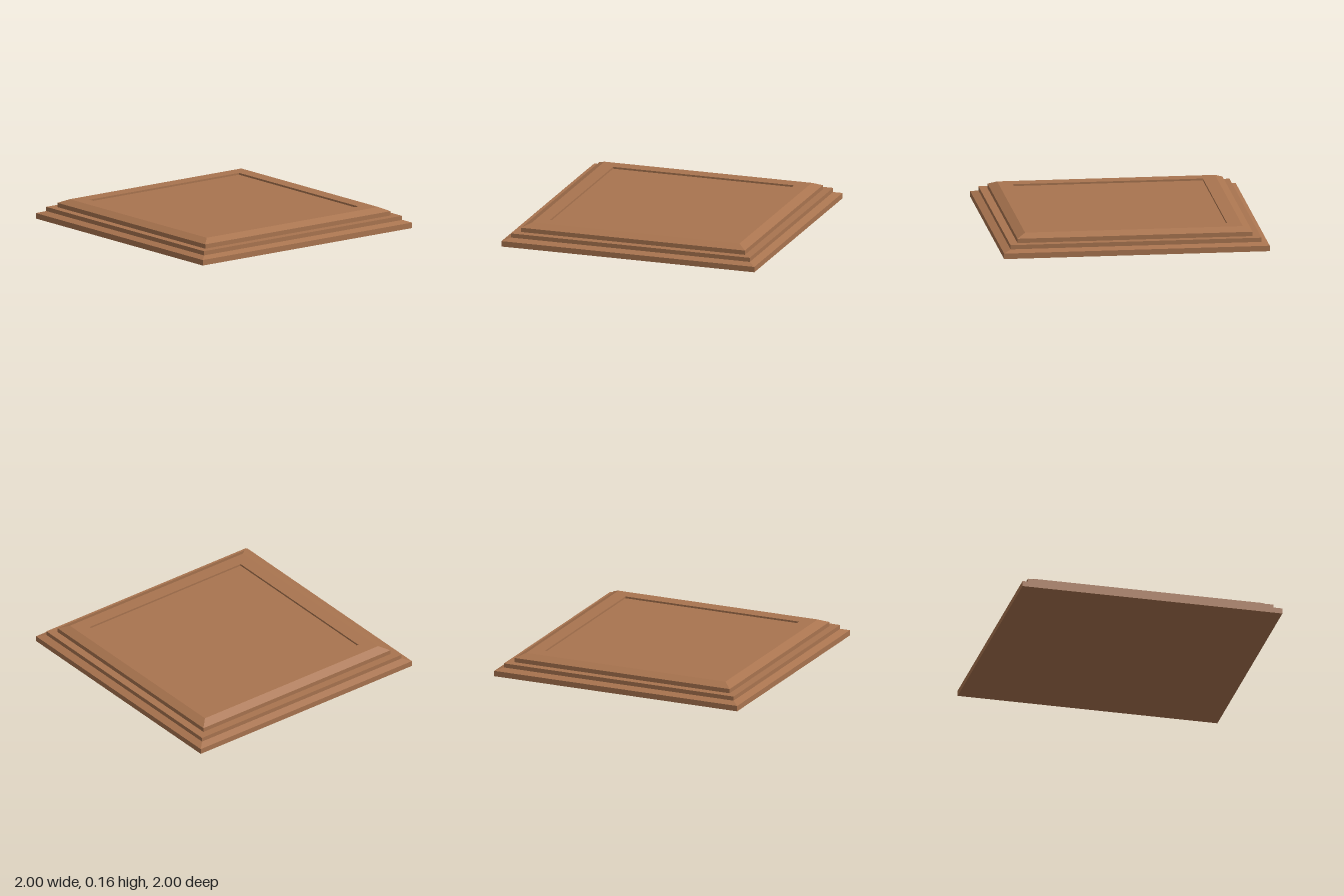
import * as THREE from 'three';

// Square moulding: a [half width, height] profile swept round four sides
function squareMoulding(name, profile, material) {
  const points = profile.map(([half, y]) => new THREE.Vector2(half * Math.SQRT2, y));
  const geometry = new THREE.LatheGeometry(points, 4, Math.PI / 4).toNonIndexed();
  geometry.computeVertexNormals(); // flat facets with crisp mitred corners
  const mesh = new THREE.Mesh(geometry, material);
  mesh.name = name;
  return mesh;
}

export function createModel() {
  const group = new THREE.Group();
  group.name = 'steppedPlinth';

  const wood = new THREE.MeshStandardMaterial({ color: 0xa9744f });
  wood.name = 'warm brown wood';

  // Foot with closed underside and a shallow sloping top
  group.add(squareMoulding('foot', [[0, 0], [1, 0], [1, 0.042], [0.945, 0.06]], wood));

  // Middle step with a flat ledge
  group.add(squareMoulding('middleStep', [[0.945, 0.06], [0.945, 0.092], [0.885, 0.092]], wood));

  // Upper step, bevelled up to a flat border around the recess
  group.add(squareMoulding('bevelledBorder',
    [[0.885, 0.092], [0.885, 0.125], [0.82, 0.155], [0.715, 0.155]], wood));

  // Shallow recess: side walls and floor panel
  group.add(squareMoulding('recessedPanel', [[0.715, 0.155], [0.715, 0.141], [0, 0.141]], wood));

  return group;
}
